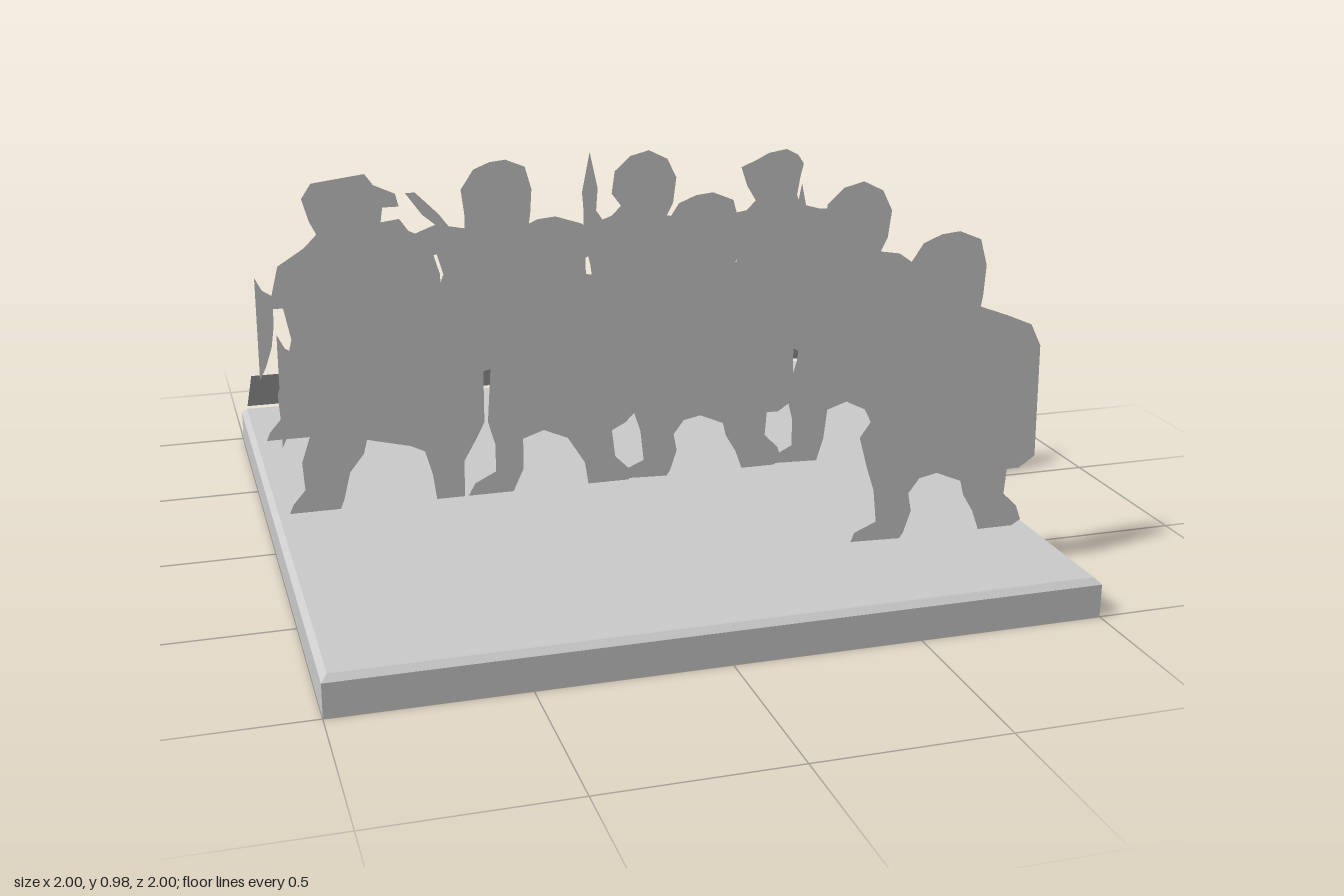
import * as THREE from 'three';

// Silhouettes in hundredths: x from the figure's middle, y from the ground.
const SWORDSMAN = [
  [-25, 14], [-24, 16.5], [-18, 19], [-19, 28], [-21, 34], [-23.5, 43], [-20, 48], [-21, 54], [-18, 62],
  [-20, 69], [-26, 72], [-22, 75], [-18, 76], [-24, 81], [-29, 88], [-26, 88], [-19, 81], [-16, 77], [-11, 76],
  [-11, 80], [-12, 88], [-8, 94], [-3, 96], [2, 96.5], [8, 94], [10, 87], [9.5, 79], [9, 76], [17, 73],
  [24, 70], [27, 64], [27.5, 33], [23, 30], [19.5, 30], [19, 23], [23, 19], [24.5, 15], [22, 13.5],
  [12, 13.5], [10, 19], [7, 24], [6, 28], [-1, 31], [-6, 30], [-9, 26], [-8, 21], [-10, 15], [-11, 13.5],
];
const SPEARMAN = [
  [-25, 14], [-24, 16], [-18, 19], [-18, 27], [-20, 35], [-17, 45], [-16, 55], [-17, 62], [-19, 70],
  [-19, 78.5], [-19.5, 85], [-17, 97.5], [-14.5, 86], [-15, 79], [-13, 76], [-10, 77], [-7, 80], [-10, 84],
  [-9, 91], [-4, 95.5], [2, 97], [8, 94], [11, 88], [10, 80], [8, 76], [14, 75], [21, 70], [26, 61],
  [27.5, 52], [26, 42], [22, 34], [18, 30], [18, 22], [22, 18], [24, 14.5], [20, 13.5], [11, 13.5],
  [9, 20], [5, 28], [-1, 31], [-7, 29], [-8, 20], [-10, 13.5],
];
const JAVELINEER = [
  [-13, 13.5], [-12, 18], [-10, 25], [-13, 33], [-14, 42], [-15, 52], [-14, 60], [-20, 66], [-22, 71],
  [-18, 75], [-11, 76], [-8, 79], [-11, 84], [-13, 90], [-8, 92], [-4, 94], [2, 95], [6, 93], [8, 90],
  [7, 86], [6, 80], [7, 77], [14, 75], [20, 74.5], [24, 77], [28.5, 79], [28, 75], [22, 73], [26, 68],
  [27.5, 60], [27.5, 35], [22, 30], [21, 23], [24, 17], [24, 13.5], [13, 13.5], [13, 20], [9, 27],
  [3, 31], [-3, 30], [-5, 22], [-4, 14],
];
const CAPTAIN = [
  [-24, 13.5], [-22, 17], [-16, 20], [-16, 28], [-18, 35], [-17, 50], [-17, 65], [-20, 72], [-15, 76],
  [-9, 77], [-8, 80], [-11, 84], [-7.5, 90], [-3, 92], [2, 92.5], [9.5, 90], [15, 85], [16, 81], [12, 81],
  [8, 79], [9, 76], [18, 74], [25, 70], [27, 62], [27, 36], [22, 31], [18, 29], [19, 21], [24, 16],
  [23, 13.5], [11, 13.5], [10, 20], [5, 28], [-2, 31], [-8, 29], [-8, 20], [-11, 13.5],
];
const ARCHER = [
  [-28, 13.5], [-27, 16], [-23.5, 20], [-24, 28], [-21, 37], [-19, 45], [-21, 55], [-25, 55], [-24, 60],
  [-22, 68], [-14, 73], [-10, 77], [-12, 81], [-14, 88], [-11, 92.5], [-3, 93.5], [5, 94.5], [7.5, 91],
  [14, 88], [15, 84], [10, 84], [9, 77], [12, 73], [20, 75.5], [28, 78.5], [28, 73], [24, 72], [27, 62],
  [27, 35], [25, 31], [21, 24], [21, 13.5], [13, 13.5], [12, 21], [10, 28], [6, 30], [-6, 33], [-7, 29],
  [-11, 24], [-13, 16], [-14, 13.5],
];
const BOW = [[-29, 65], [-27, 61], [-24, 59], [-24, 50], [-25, 43], [-27, 37], [-29, 33]];

export function createModel() {
  const model = new THREE.Group();
  const stone = new THREE.MeshStandardMaterial({ color: 0xcccccc });
  stone.name = 'pale grey';
  stone.side = THREE.DoubleSide;

  const add = (parent, name, geometry) => {
    const mesh = new THREE.Mesh(geometry, stone);
    mesh.name = name;
    parent.add(mesh);
    return mesh;
  };
  const cutout = (points) =>
    new THREE.ShapeGeometry(new THREE.Shape(points.map(([x, y]) => new THREE.Vector2(x / 100, y / 100))));

  // Square base with a narrow chamfer round the top
  add(model, 'base', new THREE.BoxGeometry(2, 0.09, 2)).position.y = 0.045;
  const rim = new THREE.CylinderGeometry(0.984 * Math.SQRT2, Math.SQRT2, 0.016, 4)
    .rotateY(Math.PI / 4)
    .toNonIndexed();
  rim.computeVertexNormals();
  add(model, 'baseChamfer', rim).position.y = 0.098;

  // Sloping panel that rises forwards from the back edge
  const low = [0.115, -0.985], high = [0.29, -0.75];
  const panel = add(
    model, 'backPanel',
    new THREE.PlaneGeometry(1.964, Math.hypot(high[0] - low[0], high[1] - low[1])),
  );
  panel.position.set(0, (low[0] + high[0]) / 2, (low[1] + high[1]) / 2);
  panel.rotation.x = Math.atan2(high[1] - low[1], high[0] - low[0]);

  // Ranks of flat cut-out soldiers
  const columns = [-0.68, -0.22, 0.235, 0.69];
  const kinds = {
    archer: [ARCHER, BOW],
    captain: [CAPTAIN],
    swordsman: [SWORDSMAN],
    spearman: [SPEARMAN],
    javelineer: [JAVELINEER],
  };
  const ranks = [
    [-0.57, ['archer', 'swordsman', 'spearman', 'javelineer']],
    [0.05, ['archer', 'captain', 'swordsman', 'spearman']],
    [0.67, [null, null, null, 'swordsman']],
  ];
  for (const [z, names] of ranks) {
    names.forEach((name, i) => {
      if (!name) return;
      const soldier = new THREE.Group();
      soldier.name = name;
      soldier.position.set(columns[i], 0, z);
      kinds[name].forEach((points, part) => add(soldier, part ? 'bow' : 'figure', cutout(points)));
      model.add(soldier);
    });
  }
  return model;
}
